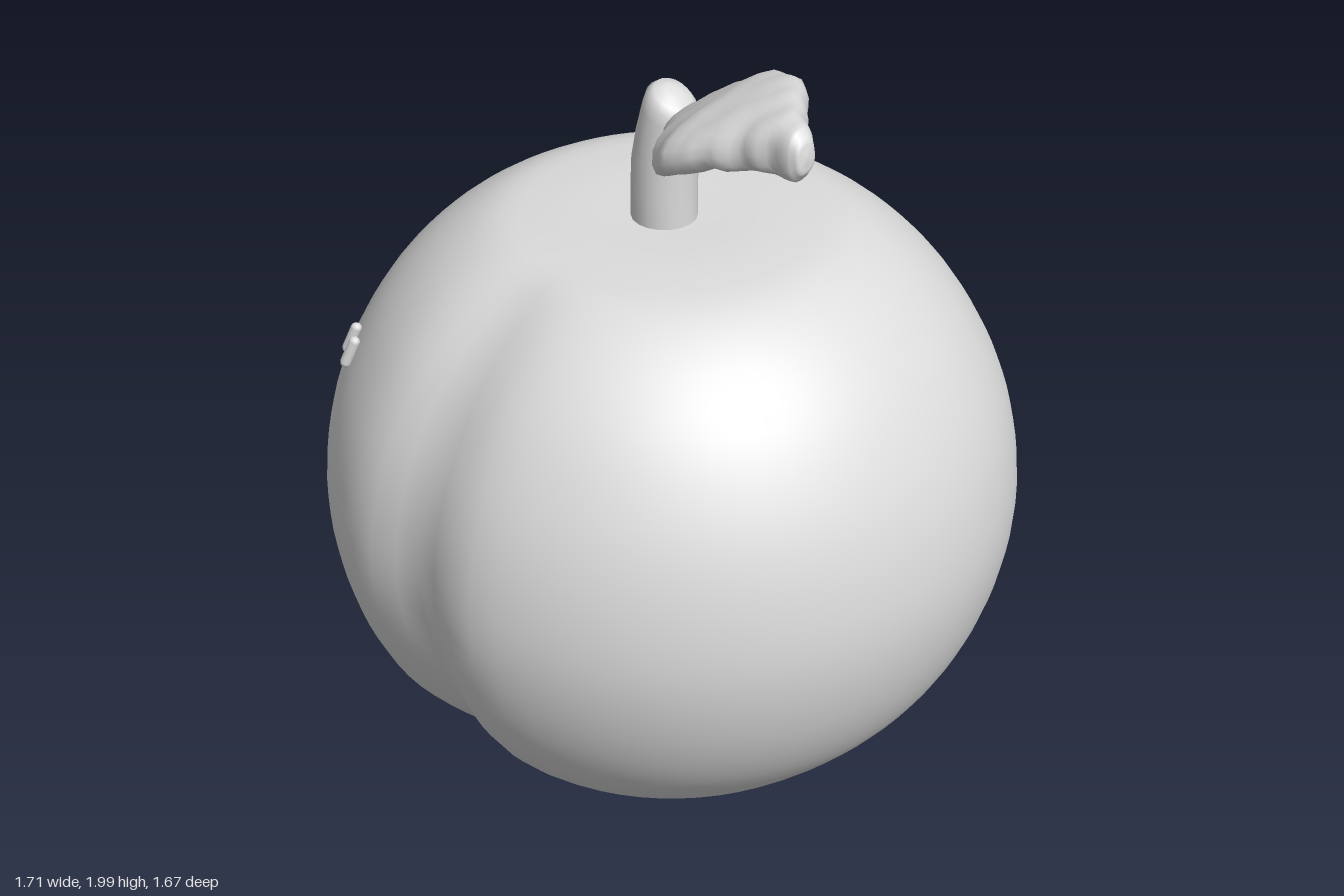
import * as THREE from 'three';
import { mergeVertices } from 'three/addons/utils/BufferGeometryUtils.js';

const V2 = ([x, y]) => new THREE.Vector2(x, y);

// Moves every vertex by a rule, welds seams and gives smooth normals.
function reshape(geometry, rule) {
  const p = geometry.attributes.position;
  const v = new THREE.Vector3();
  for (let i = 0; i < p.count; i++) {
    v.fromBufferAttribute(p, i);
    rule(v);
    p.setXYZ(i, v.x, v.y, v.z);
  }
  geometry.deleteAttribute('uv');
  geometry.deleteAttribute('normal');
  const welded = mergeVertices(geometry, 1e-5);
  welded.computeVertexNormals();
  return welded;
}

// Round fruit, flattened at both ends, with a crease down the front.
function bodyGeometry() {
  const profile = [
    [0, 0.008], [0.12, 0.008], [0.22, 0.01], [0.34, 0.02], [0.47, 0.066], [0.60, 0.172],
    [0.71, 0.293], [0.786, 0.425], [0.835, 0.57], [0.857, 0.72], [0.848, 0.87], [0.815, 1.01],
    [0.758, 1.14], [0.677, 1.265], [0.568, 1.375], [0.44, 1.452], [0.32, 1.47],
    [0.21, 1.475], [0.1, 1.473], [0, 1.472],
  ].map(V2);
  const points = new THREE.SplineCurve(profile).getPoints(57);
  points[0].x = points[57].x = 0;
  return reshape(new THREE.LatheGeometry(points, 72, Math.PI), (v) => {
    const front = THREE.MathUtils.smoothstep(v.z, 0.2, 0.6);
    const low = 1 - THREE.MathUtils.smoothstep(v.y, 0.2, 1.2);
    const crease = Math.exp(-((v.x / 0.125) ** 2));
    const r = Math.max(Math.hypot(v.x, v.z), 0.1);
    let scale = 1 - front * crease * (0.05 + 0.025 * low) / r;
    if (v.z < 0) scale += 0.045 * (v.x * v.z / (r * r)) ** 2;
    v.x *= scale;
    v.z *= scale * (v.z > 0 ? 0.997 : 0.983);
  });
}

// Short stem that leans over to a slanted blunt tip.
function stemGeometry() {
  const profile = [
    [0.08, 1.42], [0.08, 1.55], [0.079, 1.63], [0.073, 1.70], [0.066, 1.755],
    [0.06, 1.785], [0.045, 1.802], [0.02, 1.81], [0, 1.81],
  ].map(V2);
  return reshape(new THREE.LatheGeometry(profile, 18), (v) => {
    const t = Math.max(0, (v.y - 1.55) / 0.25) ** 2;
    v.y -= 0.5 * t * v.x;
    v.x += 0.03 * t - 0.002;
    v.z += 0.02;
  });
}

// Thick leaf lofted from tilted oval sections, with a scalloped edge.
function leafGeometry() {
  // x, back edge z, front edge z, centre y, half thickness
  const rows = [
    [0.055, 0.0, 0.04, 1.718, 0.015], [0.06, -0.05, 0.08, 1.718, 0.052],
    [0.10, -0.065, 0.12, 1.733, 0.06], [0.15, -0.083, 0.185, 1.764, 0.063],
    [0.20, -0.095, 0.24, 1.80, 0.063], [0.30, -0.088, 0.302, 1.866, 0.061],
    [0.40, -0.05, 0.275, 1.905, 0.06], [0.48, 0.025, 0.243, 1.922, 0.062],
    [0.55, 0.10, 0.223, 1.932, 0.063], [0.61, 0.138, 0.217, 1.936, 0.06],
    [0.633, 0.155, 0.208, 1.937, 0.036], [0.638, 0.18, 0.186, 1.937, 0.006],
  ];
  const sides = 20, steps = 4, positions = [], index = [];
  const count = (rows.length - 1) * steps;
  const boxy = (s) => Math.sign(s) * Math.abs(s) ** 0.8;
  for (let i = 0; i <= count; i++) {
    const k = Math.min(Math.floor(i / steps), rows.length - 2);
    const f = i / steps - k;
    const [x, back, edge, yc, thick] = rows[k].map((a, n) => a + (rows[k + 1][n] - a) * f);
    const ends = Math.max(0, Math.min(1, (x - 0.06) * 10, (0.638 - x) * 10));
    const half = (edge - back) / 2 + 0.005 * ends * Math.sin(x * 75);
    for (let j = 0; j < sides; j++) {
      const a = (j / sides) * Math.PI * 2;
      const dz = half * boxy(Math.cos(a));
      const ripple = 0.003 * ends * Math.sin(x * 60 + dz * 25);
      const dy = thick * boxy(Math.sin(a)) - 0.17 * dz + ripple;
      positions.push(x - 0.3 * dy * (1 - x), yc + dy, (back + edge) / 2 + dz);
      if (i < count) {
        const n = (j + 1) % sides;
        const p = i * sides + j, q = i * sides + n;
        index.push(p, p + sides, q, p + sides, q + sides, q);
      }
    }
  }
  // End caps
  for (let j = 1; j < sides - 1; j++) {
    const e = count * sides;
    index.push(0, j, j + 1, e, e + j + 1, e + j);
  }
  const g = new THREE.BufferGeometry();
  g.setAttribute('position', new THREE.Float32BufferAttribute(positions, 3));
  g.setIndex(index);
  g.computeVertexNormals();
  return g;
}

export function createModel() {
  const group = new THREE.Group();
  const grey = new THREE.MeshStandardMaterial({ color: 0xdcdcdc });
  grey.name = 'light grey';
  const add = (name, geometry) => {
    const mesh = new THREE.Mesh(geometry, grey);
    mesh.name = name;
    group.add(mesh);
    return mesh;
  };

  add('fruitBody', bodyGeometry());
  add('stem', stemGeometry());
  add('leaf', leafGeometry());

  // Two small raised flecks lying along the skin
  const fleck = new THREE.CapsuleGeometry(0.014, 0.06, 4, 10);
  [[-0.517, 0.58], [-0.468, 0.623]].forEach(([x, z], i) => {
    const mark = add('skinFleck' + (i + 1), fleck);
    mark.position.set(x, 1.122, z);
    mark.rotation.set(-0.4, Math.atan2(x, z), 0, 'YXZ');
  });
  return group;
}
